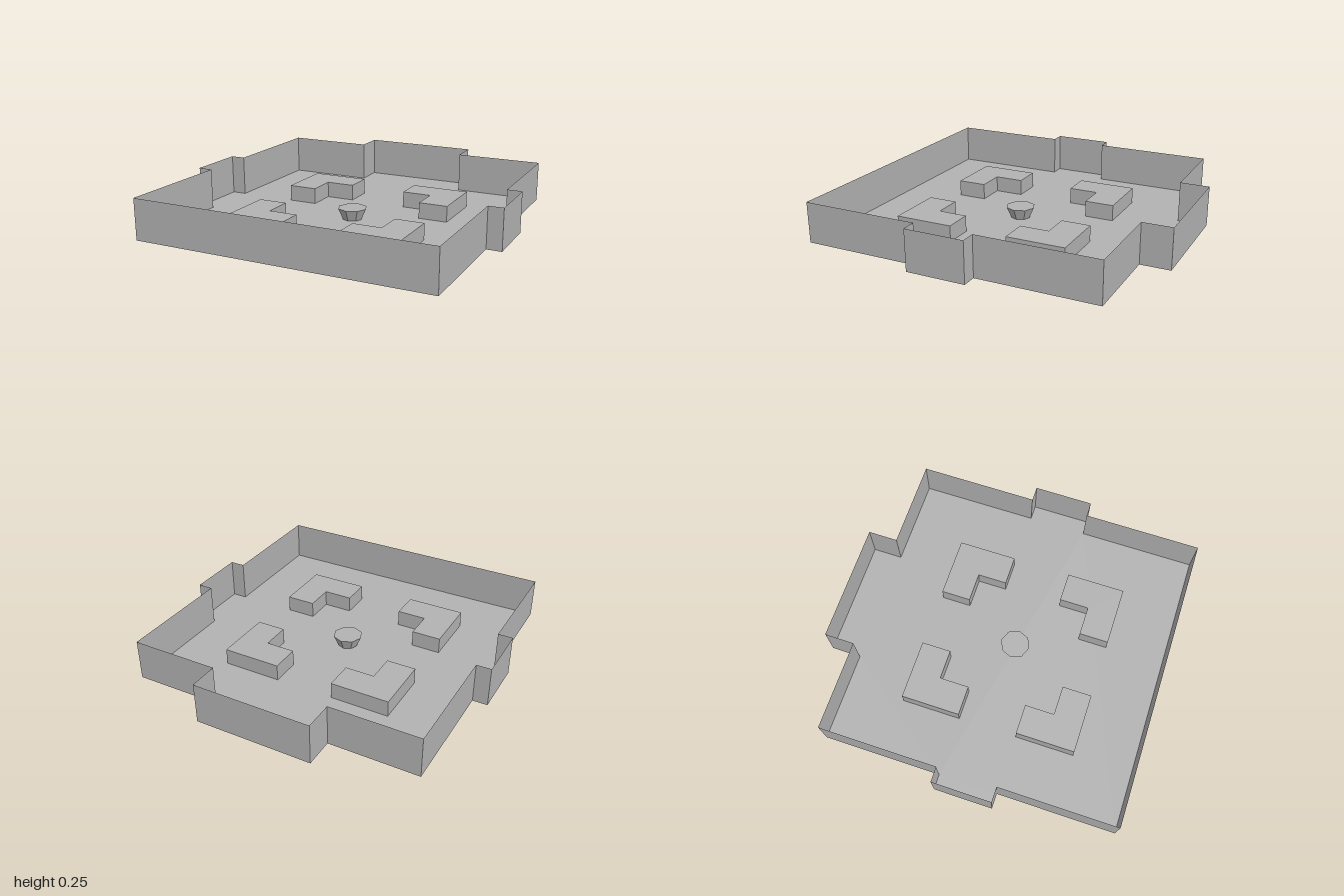
import * as THREE from 'three';

const T = 2 / 11;            // grid tile
const WALL = 0.25, BLOCK = 0.1, CENTRE_Z = T / 2;

const stone = new THREE.MeshStandardMaterial({ color: 0xb2b2b2, side: THREE.DoubleSide });
stone.name = 'grey stone';

// Shape in plan, given as [x, z] pairs
const plan = (pts) => new THREE.Shape(pts.map(([x, z]) => new THREE.Vector2(x, z)));

function addMesh(parent, name, geometry) {
  const mesh = new THREE.Mesh(geometry, stone);
  mesh.name = name;
  parent.add(mesh);
  return mesh;
}

export function createModel() {
  const room = new THREE.Group();
  room.name = 'room';

  // Right half of the outline from front to back, then mirrored
  const half = [
    [5 * T, 1], [5 * T, 1.5 * T], [1, 1.5 * T], [1, -0.5 * T],
    [5 * T, -0.5 * T], [5 * T, -4.5 * T], [2 * T, -4.5 * T], [2 * T, -1],
  ];
  const outline = [...half, ...half.map(([x, z]) => [-x, z]).reverse()];

  addMesh(room, 'floor', new THREE.ShapeGeometry(plan(outline)).rotateX(Math.PI / 2));

  // Thin wall along each outline edge
  const walls = new THREE.Group();
  walls.name = 'walls';
  room.add(walls);
  outline.forEach(([x0, z0], i) => {
    const [x1, z1] = outline[(i + 1) % outline.length];
    const length = Math.hypot(x1 - x0, z1 - z0);
    const wall = addMesh(walls, 'wall', new THREE.PlaneGeometry(length, WALL));
    wall.position.set((x0 + x1) / 2, WALL / 2, (z0 + z1) / 2);
    wall.rotation.y = Math.atan2(z0 - z1, x1 - x0);
  });

  // Four L-shaped corner blocks around the centre
  const corner = plan([[T, 3 * T], [T, 2 * T], [2 * T, 2 * T], [2 * T, T], [3 * T, T], [3 * T, 3 * T]]);
  const blockGeometry = new THREE.ExtrudeGeometry(corner, { depth: BLOCK, bevelEnabled: false })
    .rotateX(Math.PI / 2).translate(0, BLOCK, 0);
  for (let i = 0; i < 4; i++) {
    const block = addMesh(room, 'cornerBlock', blockGeometry);
    block.position.z = CENTRE_Z;
    block.rotation.y = i * Math.PI / 2;
  }

  // Eight-sided pedestal, wider at the top
  const pedestal = addMesh(room, 'pedestal',
    new THREE.CylinderGeometry(T / 2, 0.06, 0.07, 8).toNonIndexed());
  pedestal.geometry.computeVertexNormals();
  pedestal.position.set(0, 0.035, CENTRE_Z);

  return room;
}
